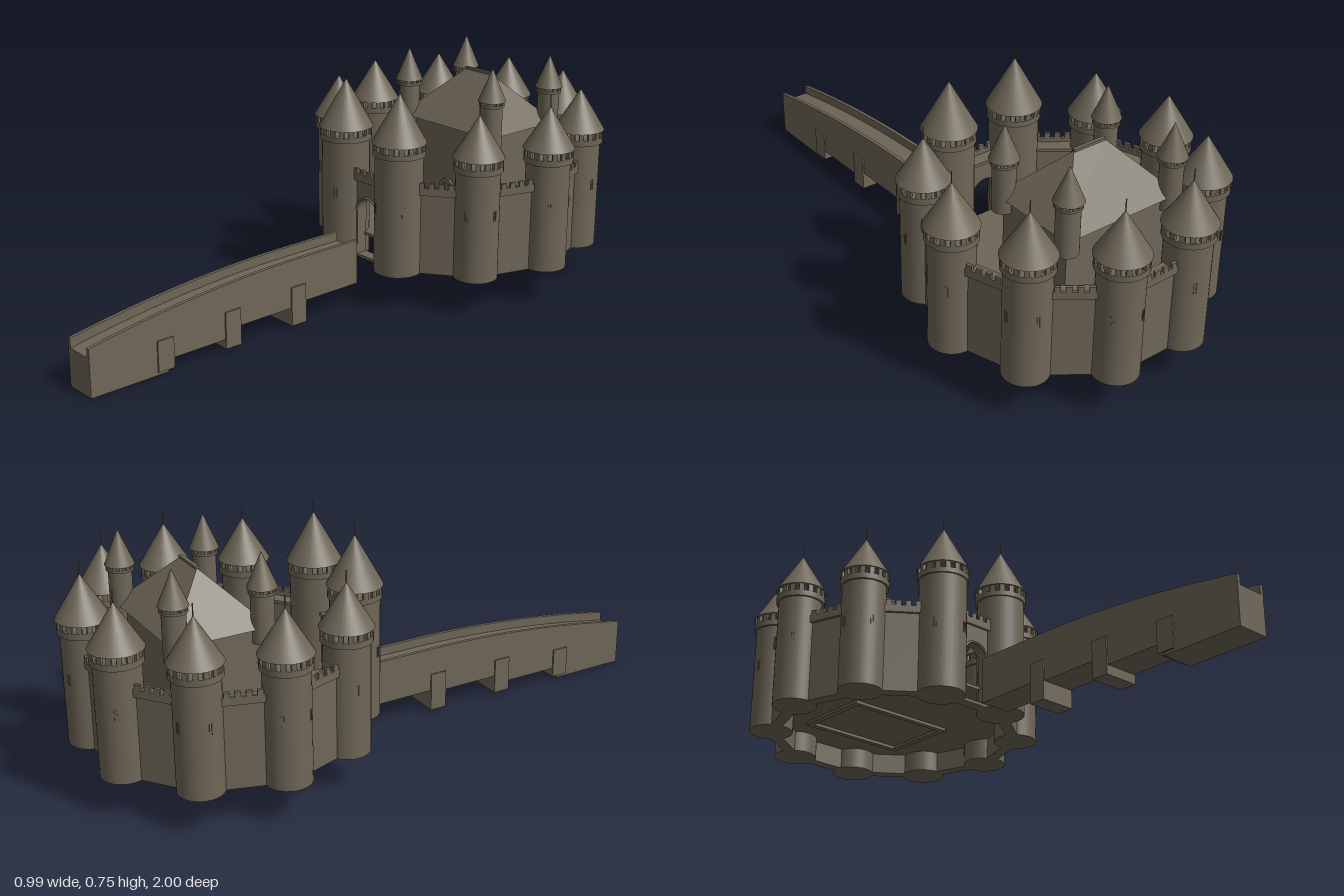
import * as THREE from 'three';

const stone = new THREE.MeshStandardMaterial({ color: 0x6e6657, side: THREE.DoubleSide });
stone.name = 'stone';
const CENTER_Z = -0.525, BASE = 0.12, FLOOR = 0.2, RING = 0.412;

function add(parent, name, geo, x = 0, y = 0, z = 0) {
  const m = new THREE.Mesh(geo, stone);
  m.name = name;
  m.position.set(x, y, z);
  parent.add(m);
  return m;
}
const box = (w, h, d) => new THREE.BoxGeometry(w, h, d);
function group(parent, name) {
  const g = new THREE.Group();
  g.name = name;
  parent.add(g);
  return g;
}

// Cylinder shaft, overhanging collar, ring of posts and cone roof with an optional mast
function tower(parent, name, o) {
  const t = group(parent, name);
  const h = o.top - o.base;
  add(t, 'shaft', new THREE.CylinderGeometry(o.r, o.r, h, 32), 0, o.base + h / 2, 0);
  const cr = o.r + o.lip;
  add(t, 'collar', new THREE.CylinderGeometry(cr, cr, o.collar, 32), 0, o.top + o.collar / 2, 0);
  const y = o.top + o.collar, n = o.posts;
  for (let i = 0; i < n; i++) {
    const a = ((i + 0.5) / n) * Math.PI * 2, w = (Math.PI * 2 * cr / n) * 0.5;
    const p = add(t, 'post', box(w, o.gap, 0.01), Math.sin(a) * (cr - 0.006), y + o.gap / 2, Math.cos(a) * (cr - 0.006));
    p.rotation.y = a;
  }
  const eave = y + o.gap - 0.002;
  add(t, 'coneRoof', new THREE.ConeGeometry(cr + 0.004, o.apex - eave, 32), 0, (o.apex + eave) / 2, 0);
  if (o.mast) add(t, 'mast', new THREE.CylinderGeometry(0.0018, 0.0018, 0.06, 6), 0, o.apex + 0.006, 0);
  return t;
}

// Curtain wall between neighbouring towers, outer face toward local +z
function curtainWall(parent, name, angle, gate) {
  const w = group(parent, name);
  w.rotation.y = angle;
  const half = RING * Math.sin(Math.PI / 10), ap = RING * Math.cos(Math.PI / 10);
  const s = new THREE.Shape();
  s.moveTo(-half, BASE).lineTo(half, BASE).lineTo(half, 0.395).lineTo(-half, 0.395).closePath();
  if (gate) {
    const hole = new THREE.Path();
    hole.moveTo(-0.048, 0.13).lineTo(0.048, 0.13).lineTo(0.048, 0.285);
    hole.absarc(0, 0.285, 0.048, 0, Math.PI, false);
    hole.lineTo(-0.048, 0.13);
    s.holes.push(hole);
    // Raised arch moulding
    add(w, 'archTrim', new THREE.TorusGeometry(0.05, 0.004, 6, 20, Math.PI), 0, 0.285, ap + 0.02);
  }
  const geo = new THREE.ExtrudeGeometry(s, { depth: 0.04, bevelEnabled: false, curveSegments: 16 });
  add(w, 'wall', geo, 0, 0, ap - 0.02);
  add(w, 'walkway', box(half * 2, 0.01, 0.055), 0, 0.395, ap + 0.0025);
  add(w, 'parapet', box(half * 2, 0.015, 0.01), 0, 0.407, ap + 0.025);
  for (let i = 0; i < 4; i++) {
    add(w, 'merlon', box(0.018, 0.017, 0.01), (i - 1.5) * 0.032, 0.4225, ap + 0.025);
  }
}

// Hip roof from an eave rectangle and a ridge line
function hipRoof(hx, hz, ridge, y0, y1) {
  const A = [-hx, y0, hz], B = [hx, y0, hz], C = [hx, y0, -hz], D = [-hx, y0, -hz];
  const L = [-ridge, y1, 0], R = [ridge, y1, 0];
  const tris = [A, B, R, A, R, L, C, D, L, C, L, R, B, C, R, D, A, L, A, D, C, A, C, B];
  const g = new THREE.BufferGeometry();
  g.setAttribute('position', new THREE.Float32BufferAttribute(tris.flat(), 3));
  g.computeVertexNormals();
  return g;
}

function buildKeep(parent) {
  const k = group(parent, 'keep');
  k.position.z = -0.1;
  const hx = 0.195, hz = 0.14, y0 = 0.18, y1 = 0.52, h = y1 - y0, y = (y0 + y1) / 2, t = 0.02;
  for (const s of [-1, 1]) {
    add(k, 'longWall', box(hx * 2, h, t), 0, y, s * (hz - t / 2));
    add(k, 'endWall', box(t, h, hz * 2), s * (hx - t / 2), y, 0);
    for (const e of [-1, 1]) {
      const tur = tower(k, 'turret', {
        r: 0.036, base: 0.47, top: 0.622, lip: 0.006, collar: 0.008, gap: 0.012, posts: 12, apex: 0.75,
      });
      tur.position.set(s * hx, 0, e * hz);
    }
  }
  add(k, 'hipRoof', hipRoof(0.212, 0.16, 0.057, 0.515, 0.68));
  add(k, 'ridgeCap', box(0.116, 0.008, 0.012), 0, 0.682, 0);
  // Arched doorway and its steps
  const arch = (w, b, top) => {
    const s = new THREE.Shape();
    s.moveTo(-w, b).lineTo(w, b).lineTo(w, top - w);
    s.absarc(0, top - w, w, 0, Math.PI, false);
    return s;
  };
  const frame = arch(0.032, 0.235, 0.325);
  frame.holes.push(arch(0.018, 0.24, 0.31));
  add(k, 'doorFrame', new THREE.ExtrudeGeometry(frame, { depth: 0.008, bevelEnabled: false }), 0, 0, hz);
  add(k, 'door', new THREE.ShapeGeometry(arch(0.018, 0.24, 0.31)), 0, 0, hz + 0.002);
  for (let i = 0; i < 4; i++) {
    const d = 0.07 - i * 0.015, sh = (i + 1) * 0.009;
    add(k, 'step', box(0.1, sh, d), 0, FLOOR + sh / 2, hz + d / 2);
  }
}

function buildCastle(parent) {
  const c = group(parent, 'castle');
  c.position.z = CENTER_Z;
  for (let i = 0; i < 10; i++) {
    const a = i * Math.PI / 5 + Math.PI / 10;
    const big = i === 0 || i === 9;
    const o = big
      ? { r: 0.079, base: BASE, top: 0.515, lip: 0.006, collar: 0.018, gap: 0.024, posts: 16, apex: 0.715, mast: true }
      : { r: 0.072, base: BASE, top: 0.48, lip: 0.008, collar: 0.02, gap: 0.025, posts: 16, apex: 0.66, mast: true };
    const t = tower(c, big ? 'gateTower' : 'tower', o);
    t.position.set(Math.sin(a) * RING, 0, Math.cos(a) * RING);
    t.rotation.y = a;
    // Arrow slits, each a thin raised frame
    for (const b of [-0.7, 0.7]) {
      for (const s of [-1, 1]) {
        const q = b + s * 0.055;
        add(t, 'arrowSlit', box(0.002, 0.034, 0.004), Math.sin(q) * o.r, 0.342, Math.cos(q) * o.r).rotation.y = q;
      }
    }
    curtainWall(c, i === 0 ? 'gateWall' : 'curtainWall', i * Math.PI / 5, i === 0);
  }
  // Ten-sided courtyard raised above the foot of the walls
  add(c, 'courtyard', new THREE.CylinderGeometry(0.4, 0.4, 0.01, 10, 1, false, Math.PI / 10), 0, FLOOR - 0.005, 0);
  buildKeep(c);
}

// Bridge side outline: curved top lowered by `drop`, stepped underside; shape x is -z
function bridgeSide(drop) {
  const s = new THREE.Shape();
  s.moveTo(-1, 0).lineTo(-0.73, 0).lineTo(-0.73, 0.04).lineTo(-0.49, 0.04).lineTo(-0.49, 0.07);
  s.lineTo(-0.23, 0.07).lineTo(-0.23, 0.08).lineTo(0.02, 0.08).lineTo(0.02, 0.23 - drop).lineTo(-0.25, 0.23 - drop);
  s.quadraticCurveTo(-0.62, 0.225 - drop, -1, 0.155 - drop);
  s.closePath();
  return s;
}

function buildBridge(parent) {
  const b = group(parent, 'bridge');
  const slab = (name, drop, width, x) => {
    const geo = new THREE.ExtrudeGeometry(bridgeSide(drop), { depth: width, bevelEnabled: false, curveSegments: 14 });
    geo.rotateY(Math.PI / 2);
    add(b, name, geo, x - width / 2, 0, 0);
  };
  slab('deck', 0.03, 0.088, 0);
  for (const s of [-1, 1]) slab('bridgeParapet', 0, 0.012, s * 0.049);
  for (const [z, top] of [[0.74, 0.11], [0.49, 0.13], [0.23, 0.14]]) {
    add(b, 'pier', box(0.12, top - 0.01, 0.058), 0, (top + 0.01) / 2, z);
  }
}

export function createModel() {
  const model = new THREE.Group();
  model.name = 'castleWithBridge';
  buildCastle(model);
  buildBridge(model);
  return model;
}
